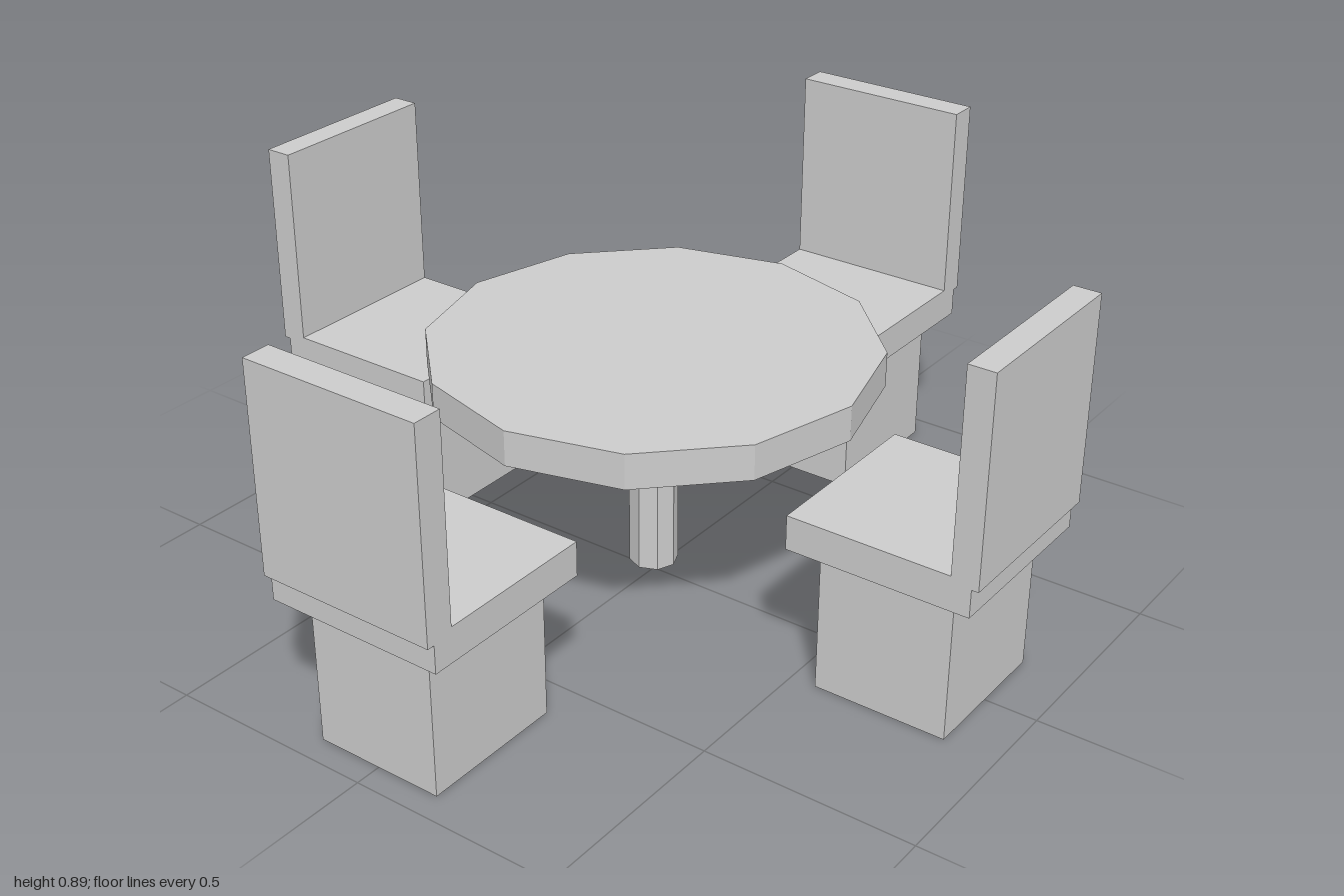
import * as THREE from 'three';

const material = new THREE.MeshStandardMaterial({ color: 0xcccccc, flatShading: true });

function addMesh(parent, name, geometry, x, y, z) {
  const mesh = new THREE.Mesh(geometry, material);
  mesh.name = name;
  mesh.position.set(x, y, z);
  parent.add(mesh);
}

// Chair facing the table; z runs outward from the table centre.
// Each part is [near, far] along z, with a width across x.
function makeChair(name, angle, { base, seat, back, baseWidth }) {
  const chair = new THREE.Group();
  chair.name = name;
  const block = (part, width, y0, y1, [z0, z1]) =>
    addMesh(chair, part, new THREE.BoxGeometry(width, y1 - y0, z1 - z0), 0, (y0 + y1) / 2, (z0 + z1) / 2);
  block('chairBase', baseWidth, 0, 0.345, base);
  block('seat', 0.432, 0.345, 0.426, seat);
  block('backrest', 0.432, 0.411, 0.893, back);
  chair.rotation.y = angle;
  return chair;
}

export function createModel() {
  const model = new THREE.Group();
  model.name = 'diningSet';

  // Round table on a single pedestal
  const table = new THREE.Group();
  table.name = 'table';
  addMesh(table, 'tableTop', new THREE.CylinderGeometry(0.515, 0.515, 0.083, 12), 0, 0.552, 0);
  addMesh(table, 'pedestal', new THREE.CylinderGeometry(0.057, 0.057, 0.49, 8), 0, 0.275, 0);
  model.add(table);

  // Chair pairs: front/back sit slightly closer than left/right
  const endChair = { base: [0.56, 0.876], seat: [0.5, 0.932], back: [0.885, 0.948], baseWidth: 0.348 };
  const sideChair = { base: [0.59, 0.938], seat: [0.552, 0.982], back: [0.932, 1], baseWidth: 0.314 };
  model.add(makeChair('frontChair', 0, endChair));
  model.add(makeChair('backChair', Math.PI, endChair));
  model.add(makeChair('leftChair', Math.PI / 2, sideChair));
  model.add(makeChair('rightChair', -Math.PI / 2, sideChair));

  return model;
}
